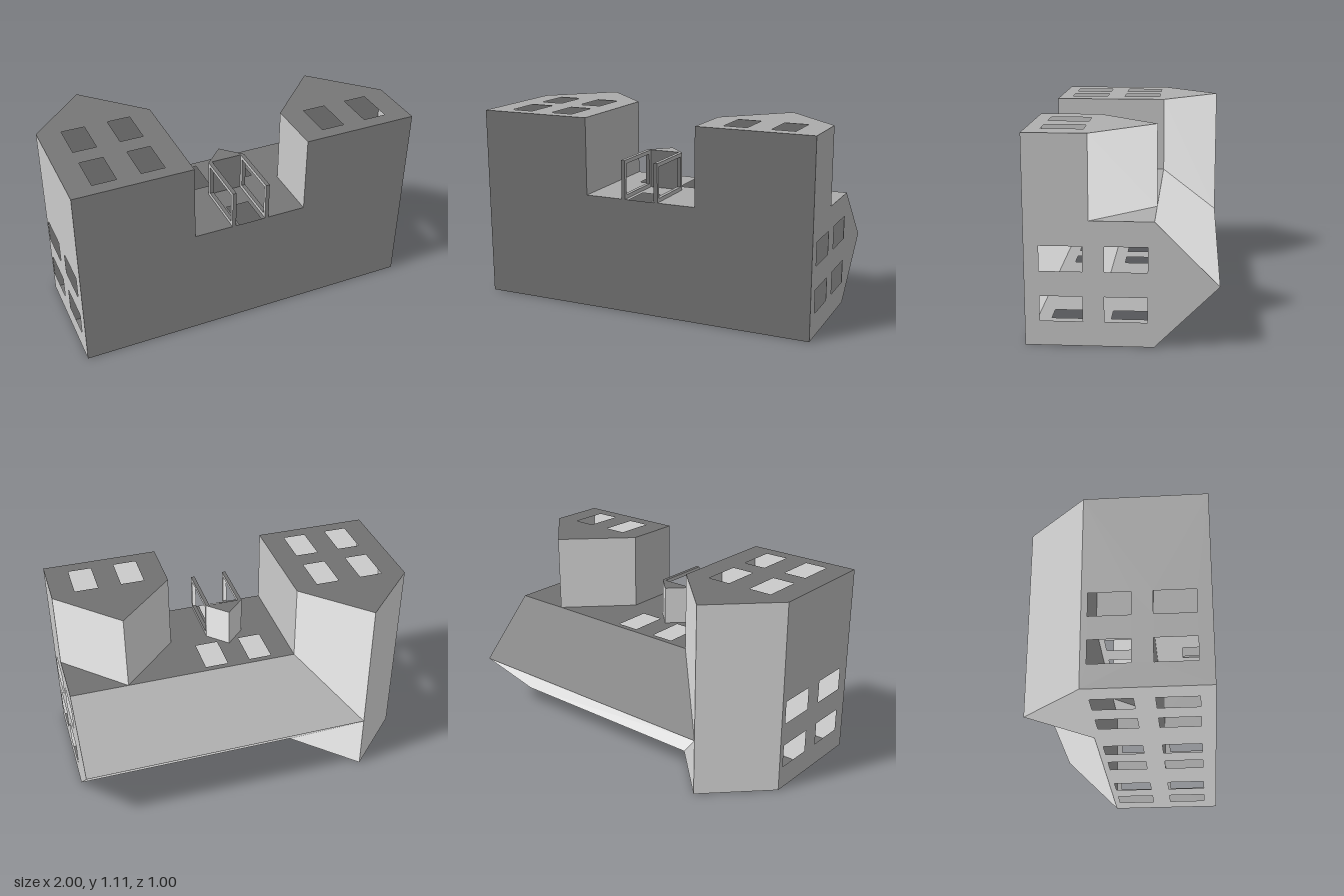
import * as THREE from 'three';

const T = 1 / 3, E = 2 / 3, D = 10 / 9; // eave, gable and depth measures
const mat = new THREE.MeshStandardMaterial({ color: 0xcccccc, side: THREE.DoubleSide });

// lays the upright house (y = height, z = depth) on its back
const layBack = new THREE.Matrix4().makeTranslation(0, 0, 0.5)
  .multiply(new THREE.Matrix4().makeRotationX(-Math.PI / 2));

export function createModel() {
  const house = new THREE.Group();
  house.name = 'house';

  // only the positions are laid back: the shading normals stay those of the upright house
  const add = (name, geo) => {
    geo.attributes.position.applyMatrix4(layBack);
    const m = new THREE.Mesh(geo, mat);
    m.name = name;
    house.add(m);
  };
  const toShape = pts => new THREE.Shape(pts.map(p => new THREE.Vector2(...p)));

  // rectangular hole
  const hole = (x0, x1, y0, y1) => new THREE.Path(
    [[x0, y0], [x0, y1], [x1, y1], [x1, y0]].map(p => new THREE.Vector2(...p)));

  // flat wall with windows at the given column centres and storeys
  const wall = (name, pts, cols, storeys, pos, rotY = 0) => {
    const s = toShape(pts);
    for (const c of cols) for (const f of storeys) {
      const y = 0.078 + f * T;
      s.holes.push(hole(c - T / 5, c + T / 5, y, y + 0.222));
    }
    add(name, new THREE.ShapeGeometry(s).rotateY(rotY).translate(...pos));
  };

  // flat convex roof panel from its corners, counter-clockwise from outside
  const panel = (name, pts) => {
    const v = [];
    for (let i = 1; i < pts.length - 1; i++) v.push(...pts[0], ...pts[i], ...pts[i + 1]);
    const g = new THREE.BufferGeometry();
    g.setAttribute('position', new THREE.Float32BufferAttribute(v, 3));
    g.computeVertexNormals();
    add(name, g);
  };

  // horizontal slab, facing down
  const slab = (name, height, pts) =>
    add(name, new THREE.ShapeGeometry(toShape(pts)).rotateX(Math.PI / 2).translate(0, height, 0));

  // front walls, the main one with a doorway
  wall('tallWingFront', [[-1, 0], [-T, 0], [-T, E], [-E, 1], [-1, E]], [-0.8, -0.5333], [0, 1], [0, 0, D]);
  wall('lowWingFront', [[T, 0], [1, 0], [1, T], [E, E], [T, T]], [0.5333, 0.8], [0], [0, 0, D]);
  wall('mainFront', [[-T, 0], [-0.067, 0], [-0.067, 0.178], [0.067, 0.178], [0.067, 0],
    [T, 0], [T, T], [E, E], [-T, E]], [-0.1333, 0.1333], [1], [0, 0, E]);
  wall('mainFrontCorner', [[E, E], [1, T], [1, E]], [], [], [0, 0, E]);

  // back wall with the tall wing's rear gable
  wall('backWall', [[-1, 0], [1, 0], [1, E], [E, 1], [T, E], [-1, E]],
    [-0.8, -0.5333, -0.1333, 0.1333, 0.5333, 0.8], [0, 1], [0, 0, 0], Math.PI);

  // side walls
  wall('gableEndWall', [[-D, 0], [0, 0], [0, E], [-T, 1], [-E, E], [-E, T], [-D, T]],
    [-0.2, -0.4667], [0, 1], [1, 0, 0], Math.PI / 2);
  wall('tallWingOuterWall', [[0, 0], [D, 0], [D, E], [0, E]], [0.2, 0.4667], [0, 1], [-1, 0, 0], -Math.PI / 2);
  wall('tallWingInnerWall', [[-D, 0], [-E, 0], [-E, E], [-D, E]], [], [], [-T, 0, 0], Math.PI / 2);
  wall('lowWingInnerWall', [[E, 0], [D, 0], [D, T], [E, T]], [], [], [T, 0, 0], -Math.PI / 2);

  // ground floor, upper floor and attic floor
  const plan = [[-1, 0], [1, 0], [1, D], [T, D], [T, E], [-T, E], [-T, D], [-1, D]];
  slab('groundFloor', 0, plan);
  slab('upperFloor', T, plan);
  slab('atticFloor', E, [[-1, 0], [1, 0], [1, E], [-T, E], [-T, D], [-1, D]]);

  // roofs, with valleys where the main roof meets the tall wing
  panel('mainRoofFront', [[-T, E, E], [1, E, E], [1, 1, T], [-E, 1, T]]);
  panel('mainRoofBack', [[1, E, 0], [-T, E, 0], [-E, 1, T], [1, 1, T]]);
  panel('tallWingRoofOuter', [[-1, E, 0], [-1, E, D], [-E, 1, D], [-E, 1, 0]]);
  panel('tallWingRoofInner', [[-T, E, D], [-T, E, E], [-E, 1, T], [-E, 1, D]]);
  panel('tallWingRoofRear', [[-T, E, 0], [-E, 1, 0], [-E, 1, T]]);
  panel('lowWingRoofInner', [[T, T, E], [T, T, D], [E, E, D], [E, E, E]]);
  panel('lowWingRoofOuter', [[1, T, D], [1, T, E], [E, E, E], [E, E, D]]);

  // porch: gabled roof on two open side frames
  const w = T / 3, b = 0.022, depth = 2 * w;
  add('porchRoof', new THREE.ExtrudeGeometry(
    toShape([[-w, T], [w, T], [0, T + w]]), { depth, bevelEnabled: false }).translate(0, 0, E));

  for (const x of [-w, w - b]) {
    const s = toShape([[-depth, 0], [0, 0], [0, T], [-depth, T]]);
    s.holes.push(hole(-depth + b, -b, b, T - b));
    add('porchSideFrame', new THREE.ExtrudeGeometry(s, { depth: b, bevelEnabled: false })
      .rotateY(Math.PI / 2).translate(x, 0, E));
  }

  return house;
}
